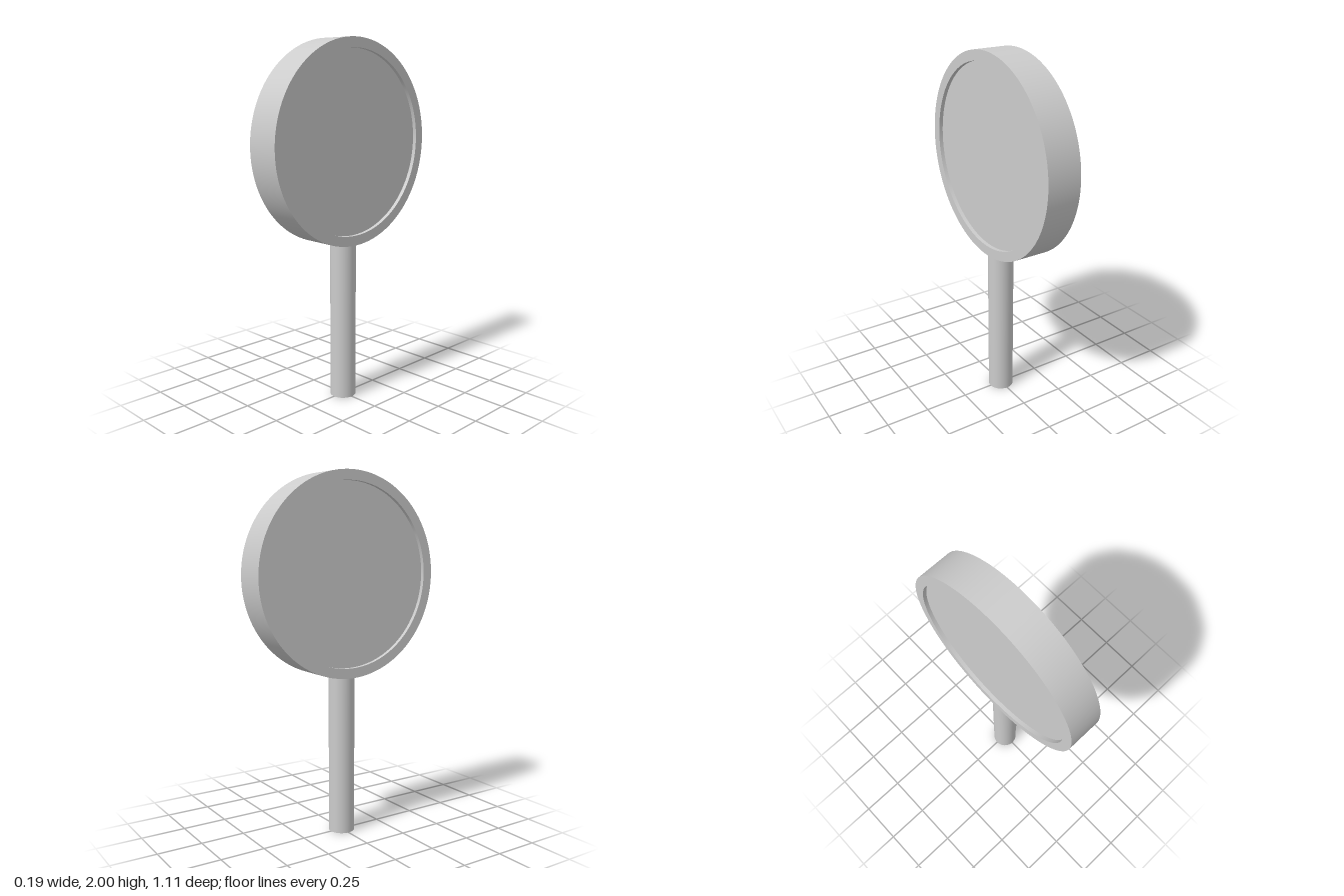
import * as THREE from 'three';
import { toCreasedNormals } from 'three/addons/utils/BufferGeometryUtils.js';

export function createModel() {
  const group = new THREE.Group();
  const material = new THREE.MeshStandardMaterial({ color: 0xcccccc });
  const outer = 0.555, inner = 0.5, width = 0.192, centreY = 2 - outer;

  const add = (name, geometry, y) => {
    const mesh = new THREE.Mesh(geometry, material);
    mesh.name = name;
    mesh.position.y = y;
    group.add(mesh);
  };

  // Round rim, its axis along x
  const ring = new THREE.Shape().absarc(0, 0, outer, 0, Math.PI * 2);
  ring.holes.push(new THREE.Path().absarc(0, 0, inner, 0, Math.PI * 2, true));
  const rim = new THREE.ExtrudeGeometry(ring, { depth: width, bevelEnabled: false, curveSegments: 96 });
  rim.translate(0, 0, -width / 2).rotateY(Math.PI / 2);
  add('rim', toCreasedNormals(rim, 0.6), centreY);

  // Panel set slightly back from both faces of the rim
  const panel = new THREE.CylinderGeometry(inner, inner, width - 0.044, 96).rotateZ(Math.PI / 2);
  add('panel', panel, centreY);

  // Handle, its top sunk into the rim
  const handleHeight = 0.92;
  add('handle', new THREE.CylinderGeometry(0.072, 0.072, handleHeight, 48), handleHeight / 2);

  return group;
}
